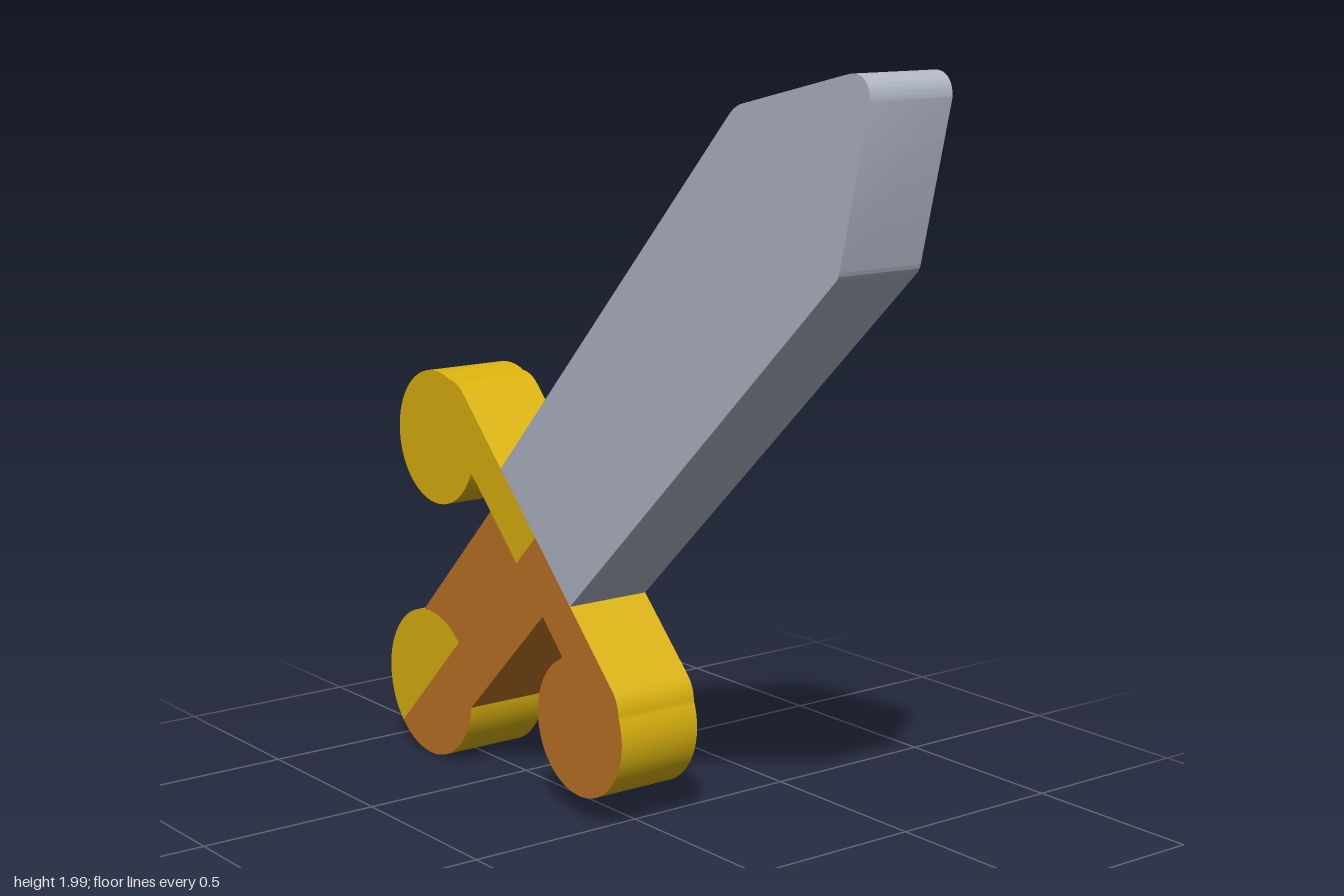
import * as THREE from 'three';
import { toCreasedNormals } from 'three/addons/utils/BufferGeometryUtils.js';

const DEPTH = 0.245;
const steel = new THREE.MeshStandardMaterial({ color: 0xb2b8c8 });
const gold = new THREE.MeshStandardMaterial({ color: 0xdcb40f });
const brown = new THREE.MeshStandardMaterial({ color: 0xc07425 });
const rad = THREE.MathUtils.degToRad;

// Flat slab cut from an outline; caps and rim may differ in colour
function slab(name, shape, cap, rim = cap) {
  const geo = new THREE.ExtrudeGeometry(shape, { depth: DEPTH, bevelEnabled: false, curveSegments: 32 });
  geo.translate(0, 0, -DEPTH / 2);
  const mesh = new THREE.Mesh(toCreasedNormals(geo, rad(28)), [cap, rim]);
  mesh.name = name;
  return mesh;
}

export function createModel() {
  const group = new THREE.Group();
  group.name = 'sword';

  // Blade with a rounded tip
  const blade = new THREE.Shape();
  blade.moveTo(-0.43, 0.89);
  blade.lineTo(0.52, 1.885);
  blade.quadraticCurveTo(0.54, 1.905, 0.565, 1.912);
  blade.lineTo(0.93, 1.997);
  blade.bezierCurveTo(0.97, 2.005, 1.0, 1.985, 1.0, 1.94);
  blade.lineTo(0.91, 1.56);
  blade.quadraticCurveTo(0.907, 1.548, 0.9, 1.54);
  blade.lineTo(-0.12, 0.575);
  group.add(slab('blade', blade, steel));

  // Half of the crossguard: bar ending in a round lobe
  const guard = new THREE.Shape();
  guard.moveTo(-0.36, 0.645);
  guard.lineTo(-0.272, 0.732);
  guard.lineTo(-0.61, 1.07);
  guard.quadraticCurveTo(-0.637, 1.095, -0.673, 1.097);
  guard.absarc(-0.745, 0.925, 0.186, rad(67), rad(336), false);
  guard.lineTo(-0.565, 0.847);
  group.add(slab('upperGuard', guard, gold));

  // Other half, mirrored across the blade's axis, with brown faces
  const mirrored = guard.getPoints(32).map((p) => new THREE.Vector2(p.y - 1.005, p.x + 1.005));
  group.add(slab('lowerGuard', new THREE.Shape(mirrored), brown, gold));

  // Grip, hollowed at its end to fit the pommel
  const [px, py, pr] = [-0.792, 0.215, 0.208];
  const grip = new THREE.Shape();
  grip.moveTo(-0.24, 0.525);
  grip.lineTo(-0.48, 0.765);
  grip.lineTo(-0.815, 0.425);
  grip.absarc(px, py, pr, rad(96), rad(-7), true);
  group.add(slab('grip', grip, brown));

  // Pommel in two half discs
  for (const [name, start, cap] of [['upperPommel', 45, gold], ['lowerPommel', 225, brown]]) {
    const half = new THREE.Shape();
    half.absarc(px, py, pr, rad(start), rad(start + 180), false);
    group.add(slab(name, half, cap, gold));
  }
  return group;
}
